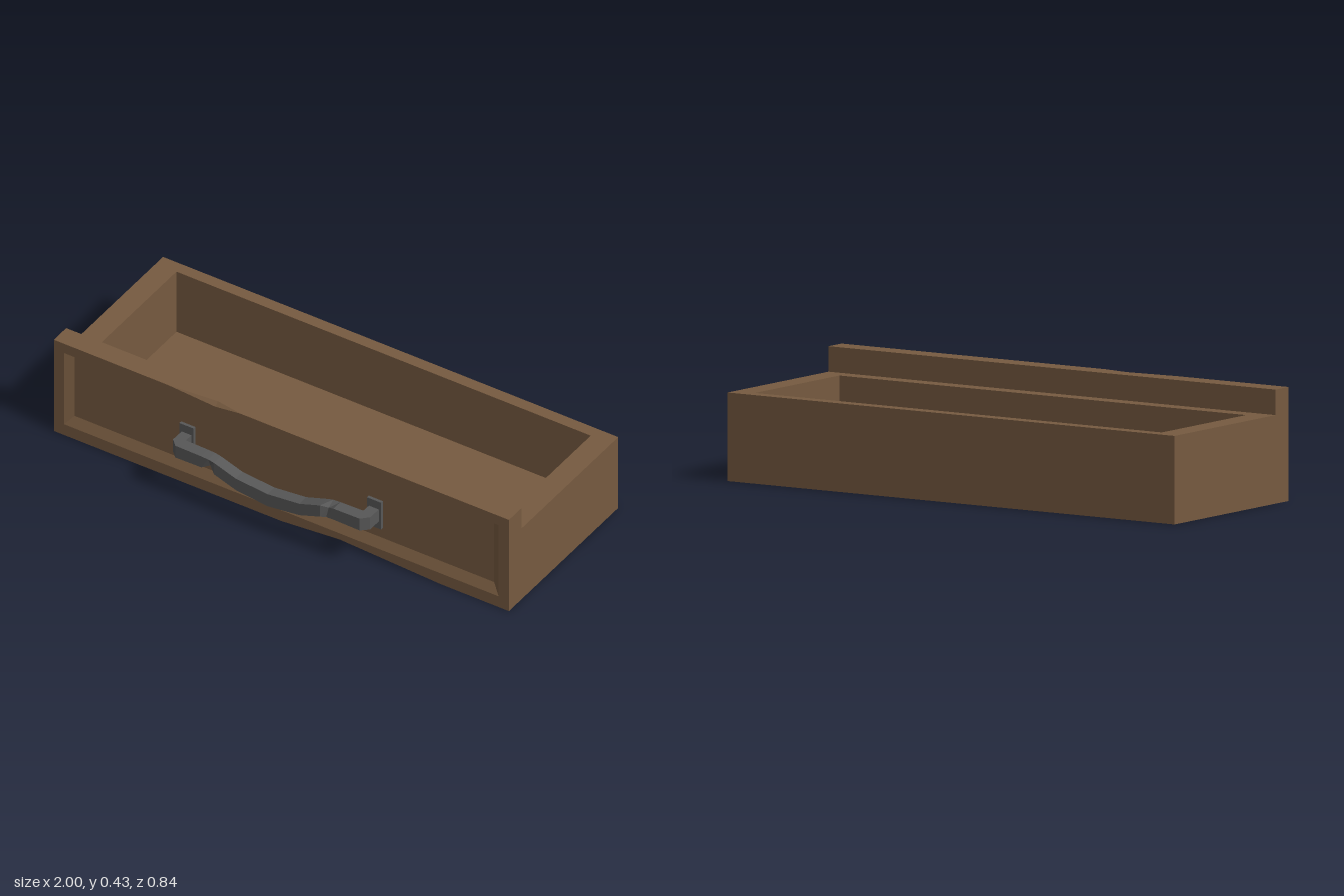
import * as THREE from 'three';

const F = 0.324, B = 0.24, H = 0.425; // panel front, panel back, panel height
const BACK = -0.418, RIM = 0.33, FLOOR = 0.05;

const wood = new THREE.MeshStandardMaterial({ color: 0x765a40 });
wood.name = 'brown wood';
const iron = new THREE.MeshStandardMaterial({ color: 0x575757 });
iron.name = 'grey iron';

function mesh(name, geometry, material, parent) {
  const m = new THREE.Mesh(geometry, material);
  m.name = name;
  parent.add(m);
  return m;
}

// Flat-shaded geometry from convex polygons, each fanned into triangles
function facets(polygons) {
  const pos = [];
  for (const p of polygons)
    for (let i = 1; i < p.length - 1; i++) pos.push(...p[0], ...p[i], ...p[i + 1]);
  const g = new THREE.BufferGeometry();
  g.setAttribute('position', new THREE.Float32BufferAttribute(pos, 3));
  g.computeVertexNormals();
  return g;
}

const outline = pts => new THREE.Shape(pts.map(p => new THREE.Vector2(...p)));
const rect = (x0, y0, x1, y1) => [[x0, y0], [x1, y0], [x1, y1], [x0, y1]];

function addTray(parent) {
  const tray = new THREE.Group();
  tray.name = 'tray';
  parent.add(tray);
  const s = outline(rect(-1, -B, 1, -BACK));
  s.holes.push(outline(rect(-0.91, -0.18, 0.91, 0.37)));
  const walls = new THREE.ExtrudeGeometry(s, { depth: RIM - FLOOR, bevelEnabled: false });
  walls.rotateX(-Math.PI / 2).translate(0, FLOOR, 0);
  mesh('trayWalls', walls, wood, tray);
  const floor = new THREE.BoxGeometry(2, FLOOR, B - BACK);
  floor.translate(0, FLOOR / 2, (B + BACK) / 2);
  mesh('trayFloor', floor, wood, tray);
}

function addFrontPanel(parent) {
  const panel = new THREE.Group();
  panel.name = 'frontPanel';
  parent.add(panel);

  // Front rim with chipped upper and lower edges around the recess
  const outer = rect(-0.955, 0.05, 0.955, 0.382);
  const inner = rect(-0.922, 0.09, 0.922, 0.364);
  const rim = outline([[-1, 0], [0, 0], [0.25, 0.022], [0.7, 0], [1, 0],
    [1, H], [-0.18, H], [-0.29, 0.411], [-0.5, H], [-1, H]]);
  rim.holes.push(outline(outer));
  mesh('panelRim', new THREE.ShapeGeometry(rim).translate(0, 0, F), wood, panel);

  // Sloped recess and its flat field
  const o = outer.map(p => [...p, F]), n = inner.map(p => [...p, F - 0.02]);
  const recess = [n];
  for (let i = 0; i < 4; i++) {
    const j = (i + 1) % 4;
    recess.push([o[i], o[j], n[j], n[i]]);
  }
  mesh('panelRecess', facets(recess), wood, panel);

  // Top and underside, notched where the edges are chipped
  const top = outline([[-1, -F], [-0.5, -F], [-0.29, -0.306], [-0.18, -F], [1, -F], [1, -B], [-1, -B]]);
  mesh('panelTop', new THREE.ShapeGeometry(top).rotateX(-Math.PI / 2).translate(0, H, 0), wood, panel);
  const under = outline([[-1, B], [1, B], [1, F], [0.7, F], [0.25, 0.3], [0, F], [-1, F]]);
  mesh('panelUnderside', new THREE.ShapeGeometry(under).rotateX(Math.PI / 2), wood, panel);

  mesh('panelSides', facets([
    [[1, 0, F], [1, 0, B], [1, H, B], [1, H, F]],
    [[-1, 0, B], [-1, 0, F], [-1, H, F], [-1, H, B]],
    [[1, 0, B], [-1, 0, B], [-1, H, B], [1, H, B]],
  ]), wood, panel);

  // Slanted faces of the two chips
  const a = [0.25, 0.022, F], c = [0.25, 0, 0.3];
  const d = [-0.29, 0.411, F], e = [-0.29, H, 0.306];
  mesh('edgeChips', facets([
    [[0, 0, F], c, a], [c, [0.7, 0, F], a],
    [[-0.5, H, F], d, e], [d, [-0.18, H, F], e],
  ]), wood, panel);
}

function addHandle(parent) {
  const handle = new THREE.Group();
  handle.name = 'handle';
  parent.add(handle);

  for (const side of [-1, 1]) {
    const plate = new THREE.BoxGeometry(0.062, 0.125, 0.012);
    mesh('mountingPlate', plate, iron, handle).position.set(side * 0.412, 0.213, 0.325);
  }

  // Sections: inner x, inner z, outer x, outer z, bottom y, top y, top chip, bottom chip
  const arm = [
    [0.39, 0.325, 0.433, 0.325, 0.185, 0.24],
    [0.39, 0.368, 0.433, 0.39, 0.185, 0.242],
    [0.388, 0.37, 0.405, 0.418, 0.187, 0.242],
  ];
  const across = [
    [-0.29, 0.189, 0.24, 0, 0], [-0.26, 0.188, 0.238, 0, 0.014], [-0.235, 0.18, 0.233, 0, 0],
    [-0.14, 0.147, 0.2, 0, 0], [0, 0.13, 0.186, 0, 0], [0.14, 0.147, 0.2, 0, 0],
    [0.23, 0.178, 0.23, 0, 0], [0.258, 0.188, 0.238, 0.018, 0], [0.29, 0.189, 0.24, 0, 0],
  ].map(([x, b, t, ct, cb]) => [x, 0.37, x, 0.418, b, t, ct, cb]);
  const left = arm.map(([xi, zi, xo, zo, b, t]) => [-xi, zi, -xo, zo, b, t]);
  const rings = [...left, ...across, ...[...arm].reverse()].map(
    ([xi, zi, xo, zo, b, t, ct = 0, cb = 0]) => [
      [xi, b, zi], [xo, b + cb, zo - cb], [xo, t - ct, zo - ct], [xi, t, zi]]);
  const faces = [];
  for (let i = 0; i < rings.length - 1; i++)
    for (let j = 0; j < 4; j++) {
      const k = (j + 1) % 4, p = rings[i], q = rings[i + 1];
      faces.push([p[j], q[j], q[k], p[k]]);
    }
  mesh('curvedGrip', facets(faces), iron, handle);
}

export function createModel() {
  const drawer = new THREE.Group();
  drawer.name = 'drawer';
  addTray(drawer);
  addFrontPanel(drawer);
  addHandle(drawer);
  return drawer;
}
